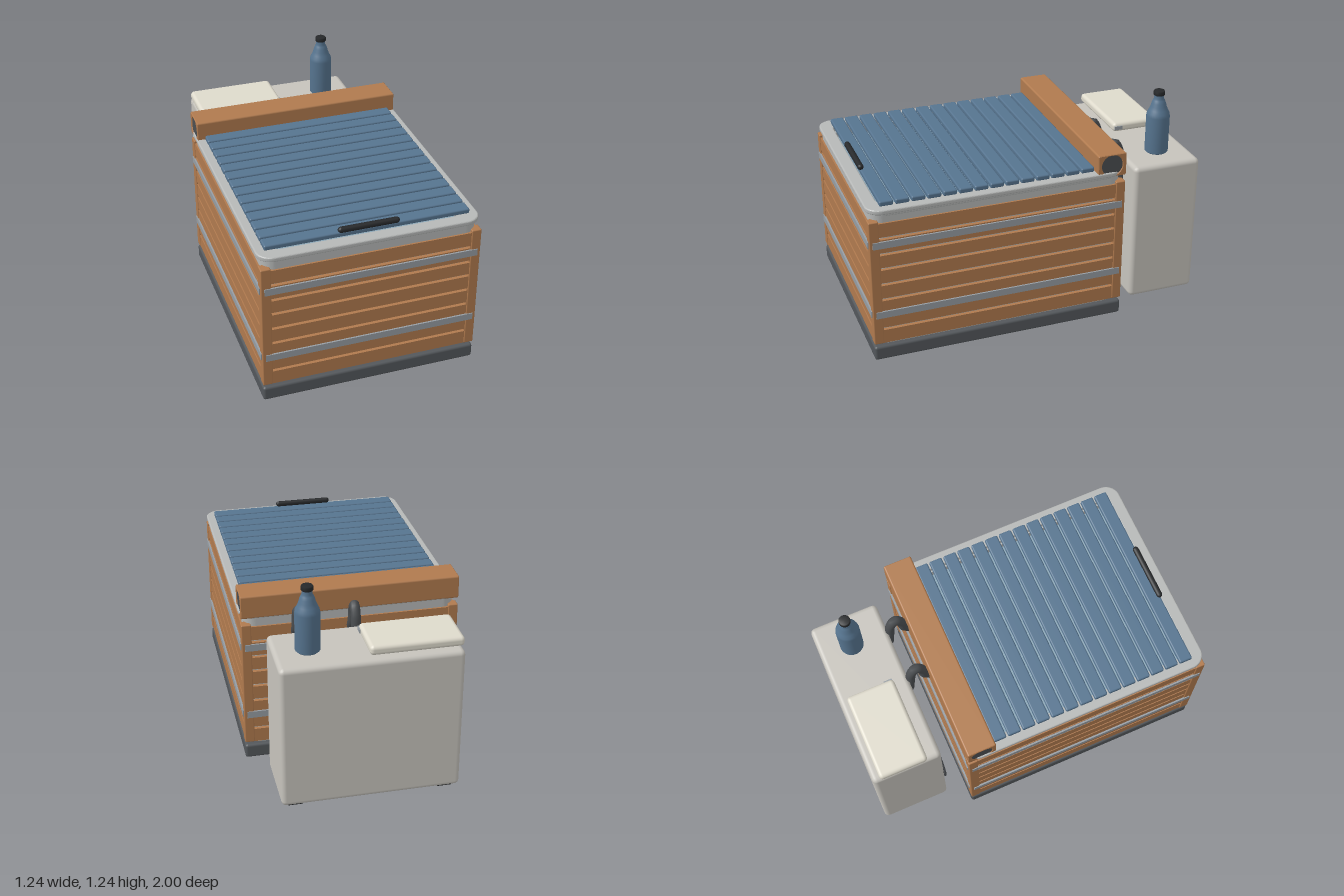
import * as THREE from 'three';
import { RoundedBoxGeometry } from 'three/addons/geometries/RoundedBoxGeometry.js';

const CZ = 0.26; // tub centre along z
const HX = 0.615, HZ = 0.735; // tub half extents

const mat = (color, extra = {}) => new THREE.MeshStandardMaterial({ color, ...extra });
const wood = mat(0xb07a4e), blue = mat(0x56748f), shell = mat(0xb6b8b7), band = mat(0x969da3);
const base = mat(0x53575b), black = mat(0x26282a), hose = mat(0x4b4e51), body = mat(0xc6c3bc), cream = mat(0xdedacc);

function add(parent, name, geometry, material, x = 0, y = 0, z = 0) {
  const mesh = new THREE.Mesh(geometry, material);
  mesh.name = name;
  mesh.position.set(x, y, z);
  parent.add(mesh);
  return mesh;
}

const rbox = (w, h, d, r) => new RoundedBoxGeometry(w, h, d, 2, r);

function roundRect(w, h, r, Type = THREE.Shape) {
  const s = new Type(), x = w / 2, y = h / 2, q = Math.PI / 2;
  s.moveTo(-x + r, -y);
  s.absarc(x - r, -y + r, r, -q, 0);
  s.absarc(x - r, y - r, r, 0, q);
  s.absarc(-x + r, y - r, r, q, 2 * q);
  s.absarc(-x + r, -y + r, r, 2 * q, 3 * q);
  s.closePath();
  return s;
}

// flat slab lying on the xz plane, from y = 0 upward
function slab(shape, height, bevel = 0) {
  const g = new THREE.ExtrudeGeometry(shape, {
    depth: height - 2 * bevel, bevelEnabled: bevel > 0, bevelSize: bevel, bevelThickness: bevel,
    bevelOffset: -bevel, bevelSegments: 3, curveSegments: 8,
  });
  g.translate(0, 0, bevel);
  return g.rotateX(-Math.PI / 2);
}

// one slotted timber wall with its two metal bands, facing +z
function makeWall(name, length) {
  const wall = new THREE.Group();
  wall.name = name;
  const s = new THREE.Shape();
  const h = length / 2;
  s.moveTo(-h, 0.105).lineTo(h, 0.105).lineTo(h, 0.845).lineTo(-h, 0.845).closePath();
  for (const y of [0.195, 0.38, 0.475, 0.57, 0.66, 0.755]) {
    const a = h - 0.004, t = 0.008;
    const slot = new THREE.Path();
    slot.moveTo(-a, y - t).lineTo(-a, y + t).lineTo(a, y + t).lineTo(a, y - t).closePath();
    s.holes.push(slot);
  }
  add(wall, 'slattedPanel', new THREE.ExtrudeGeometry(s, { depth: 0.02, bevelEnabled: false }), wood, 0, 0, -0.025);
  for (const y of [0.29, 0.72]) add(wall, 'metalBand', new THREE.BoxGeometry(length + 0.07, 0.04, 0.02), band, 0, y, -0.005);
  return wall;
}

function makeTub() {
  const tub = new THREE.Group();
  tub.name = 'tub';
  tub.position.z = CZ;
  add(tub, 'base', rbox(2 * HX, 0.085, 2 * HZ, 0.015), base, 0, 0.0425, 0);
  // inner shell, open at the top
  add(tub, 'shellBody', slab(roundRect(1.17, 1.41, 0.07), 0.76), shell, 0, 0.08, 0);
  const wall = roundRect(1.2, 1.44, 0.07);
  wall.holes.push(roundRect(1.06, 1.3, 0.06, THREE.Path));
  add(tub, 'shellTop', slab(wall, 0.05), shell, 0, 0.845, 0);
  add(tub, 'water', new THREE.BoxGeometry(1.08, 0.02, 1.32), mat(0x8aa5b5), 0, 0.845, 0);
  // two-step rim
  for (const [inset, y, h] of [[0.012, 0.88, 0.025], [-0.005, 0.898, 0.028]]) {
    const ring = roundRect(2 * (HX - inset), 2 * (HZ - inset) - 0.01, 0.085);
    ring.holes.push(roundRect(1.08, 1.32, 0.06, THREE.Path));
    add(tub, 'rim', slab(ring, h, 0.008), shell, 0, y, 0);
  }
  // walls and corner posts
  for (const side of [1, -1]) {
    const end = makeWall(side > 0 ? 'frontWall' : 'backWall', 1.125);
    end.position.z = side * HZ;
    if (side < 0) end.rotation.y = Math.PI;
    const flank = makeWall(side > 0 ? 'leftWall' : 'rightWall', 1.365);
    flank.position.x = side * HX;
    flank.rotation.y = side * Math.PI / 2;
    tub.add(end, flank);
    for (const s of [1, -1])
      add(tub, 'cornerPost', rbox(0.055, 0.755, 0.055, 0.006), wood, side * (HX - 0.0275), 0.4825, s * (HZ - 0.0275));
  }
  return tub;
}

function makeCover() {
  const cover = new THREE.Group();
  cover.name = 'rollCover';
  for (let i = 0; i < 14; i++)
    add(cover, 'coverSlat', rbox(1.145, 0.03, 0.077, 0.009), blue, 0, 0.939, -0.265 + i * 0.0882);
  const grip = add(cover, 'coverHandle', new THREE.CapsuleGeometry(0.017, 0.31, 4, 10), black, 0, 0.967, 0.915);
  grip.rotation.z = Math.PI / 2;
  // timber housing with the roller showing at both ends
  const section = roundRect(0.168, 0.135, 0.01);
  section.holes.push(new THREE.Path().absarc(0, 0, 0.062, 0, Math.PI * 2, true));
  const housing = new THREE.ExtrudeGeometry(section, {
    depth: 1.222, bevelEnabled: true, bevelSize: 0.004, bevelThickness: 0.004, bevelOffset: -0.004, bevelSegments: 1, curveSegments: 16,
  });
  housing.translate(0, 0, -0.611).rotateY(-Math.PI / 2);
  add(cover, 'rollerHousing', housing, wood, 0, 0.967, -0.392);
  add(cover, 'roller', new THREE.CylinderGeometry(0.063, 0.063, 1.222, 32), hose, 0, 0.967, -0.392).rotation.z = Math.PI / 2;
  return cover;
}

function makeHeatPump() {
  const pump = new THREE.Group();
  pump.name = 'heatPump';
  add(pump, 'pumpCase', rbox(1.0, 0.85, 0.41, 0.028), body, 0, 0.435, -0.795);
  for (const x of [-0.42, 0.42]) add(pump, 'pumpFoot', new THREE.BoxGeometry(0.08, 0.03, 0.36), black, x, 0.016, -0.795);
  // fan grille on the side facing the tub
  const fan = new THREE.Group();
  fan.name = 'fanGrille';
  fan.position.set(-0.25, 0.405, -0.588);
  add(fan, 'fanDisc', new THREE.CylinderGeometry(0.235, 0.235, 0.006, 40), black).rotation.x = Math.PI / 2;
  for (const r of [0.06, 0.12, 0.18, 0.24]) add(fan, 'grilleRing', new THREE.TorusGeometry(r, 0.007, 6, 40), hose, 0, 0, 0.003);
  for (let i = 0; i < 4; i++) add(fan, 'grilleSpoke', new THREE.BoxGeometry(0.47, 0.01, 0.008), hose, 0, 0, 0.004).rotation.z = i * Math.PI / 4;
  pump.add(fan);
  // arched hoses between the tub and the pump
  const path = new THREE.CatmullRomCurve3([
    [-0.46, 0.79], [-0.49, 0.83], [-0.505, 0.91], [-0.535, 0.953], [-0.565, 0.91], [-0.578, 0.82], [-0.592, 0.70],
  ].map(([z, y]) => new THREE.Vector3(0, y, z)));
  for (const x of [-0.003, 0.312]) add(pump, 'hose', new THREE.TubeGeometry(path, 32, 0.028, 14), hose, x);
  return pump;
}

function makeBottle() {
  const bottle = new THREE.Group();
  bottle.name = 'bottle';
  bottle.position.set(0.313, 0.86, -0.808);
  const lathe = (pts) => new THREE.LatheGeometry(pts.map(([r, y]) => new THREE.Vector2(r, y)), 32);
  add(bottle, 'bottleBody', lathe([[0, 0], [0.06, 0], [0.068, 0.008], [0.068, 0.225], [0.064, 0.245], [0.054, 0.265],
    [0.046, 0.285], [0.041, 0.305], [0.034, 0.322], [0.028, 0.332], [0.028, 0.355]]), blue);
  add(bottle, 'bottleCap', lathe([[0, 0.352], [0.029, 0.352], [0.033, 0.356], [0.033, 0.374], [0.029, 0.38], [0, 0.38]]), black);
  return bottle;
}

function makeTowel() {
  const towel = new THREE.Group();
  towel.name = 'foldedTowel';
  towel.position.set(-0.248, 0.892, -0.815);
  add(towel, 'towelFold', rbox(0.515, 0.056, 0.285, 0.022), cream);
  add(towel, 'towelTag', new THREE.BoxGeometry(0.01, 0.022, 0.05), band, 0.258, 0, 0.11);
  return towel;
}

export function createModel() {
  const model = new THREE.Group();
  model.name = 'spaTub';
  model.add(makeTub(), makeCover(), makeHeatPump(), makeBottle(), makeTowel());
  return model;
}
